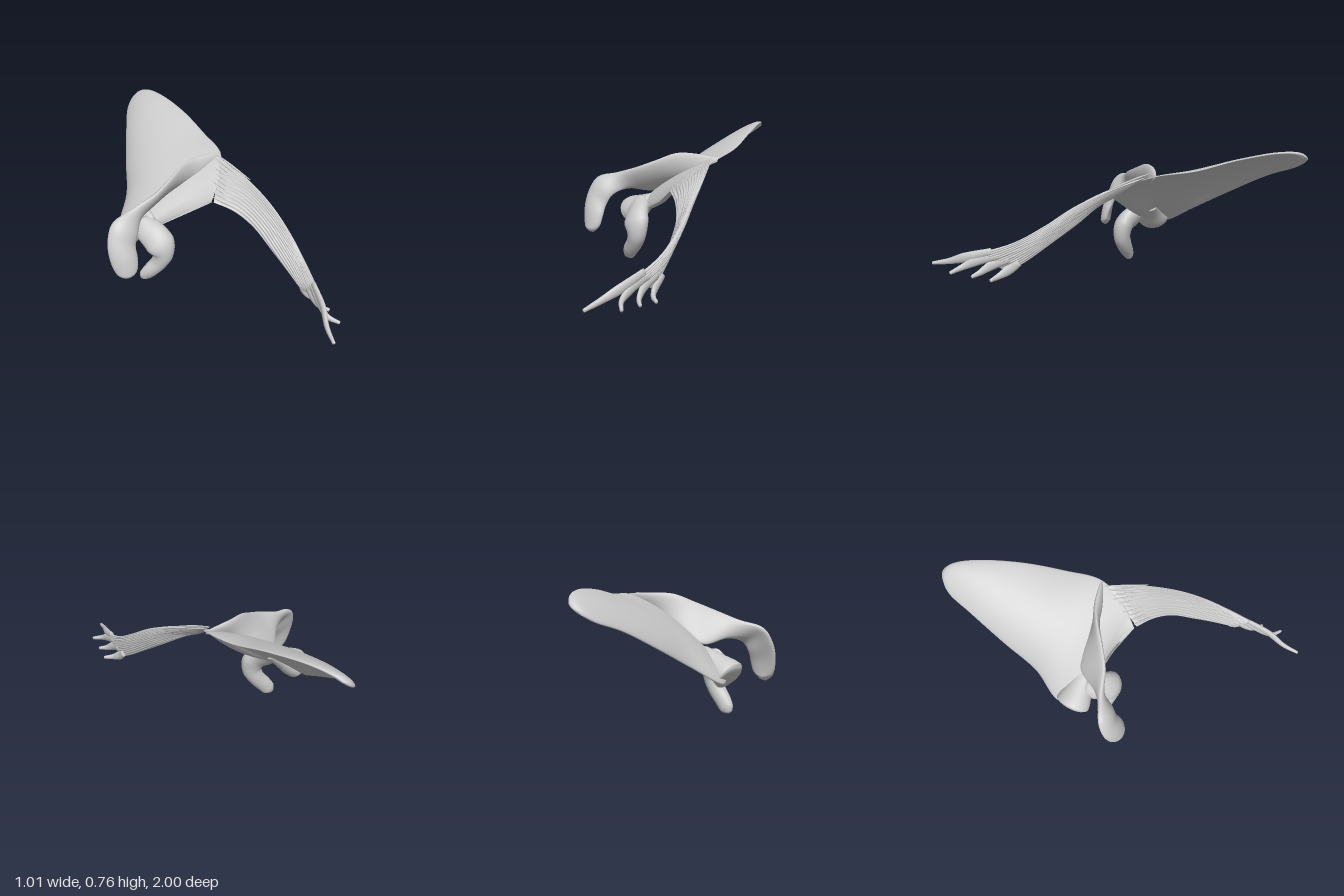
import * as THREE from 'three';

const V = (a) => new THREE.Vector3(...a);
const material = new THREE.MeshStandardMaterial({ color: 0xcccccc });

// Closed skin: nu points around each ring, nv + 1 rings, ends closed by fans
function skin(name, fn, nu, nv) {
  const pos = [], idx = [];
  for (let j = 0; j <= nv; j++) {
    for (let i = 0; i < nu; i++) pos.push(...fn(i / nu, j / nv).toArray());
  }
  for (let j = 0; j < nv; j++) {
    for (let i = 0; i < nu; i++) {
      const k = (i + 1) % nu, a = j * nu + i, b = j * nu + k;
      idx.push(a, b, a + nu, b, b + nu, a + nu);
    }
  }
  for (const j of [0, nv]) {
    const c = new THREE.Vector3();
    for (let i = 0; i < nu; i++) c.add(V(pos.slice((j * nu + i) * 3, (j * nu + i) * 3 + 3)));
    const n = pos.length / 3;
    pos.push(...c.divideScalar(nu).toArray());
    for (let i = 0; i < nu; i++) {
      const a = j * nu + i, b = j * nu + (i + 1) % nu;
      if (j === 0) idx.push(n, b, a); else idx.push(n, a, b);
    }
  }
  // Turn the faces outwards when the enclosed volume is negative
  let volume = 0;
  const p = (k) => V(pos.slice(idx[k] * 3, idx[k] * 3 + 3));
  for (let k = 0; k < idx.length; k += 3) volume += p(k).dot(p(k + 1).cross(p(k + 2)));
  if (volume < 0) idx.reverse();
  const g = new THREE.BufferGeometry();
  g.setAttribute('position', new THREE.Float32BufferAttribute(pos, 3));
  g.setIndex(idx);
  g.computeVertexNormals();
  const mesh = new THREE.Mesh(g, material);
  mesh.name = name;
  return mesh;
}

// Curved plate through rows of [edge, middle, edge]; thick(s, v) is the half thickness
function plate(name, rows, thick, nu = 40, nv = 60) {
  const cols = [0, 1, 2].map((c) => new THREE.CatmullRomCurve3(rows.map((r) => V(r[c])), false, 'centripetal'));
  const at = (s, v) => {
    const [a, m, b] = cols.map((c) => c.getPoint(v));
    return a.multiplyScalar((1 - s) * (1 - 2 * s)).addScaledVector(m, 4 * s * (1 - s)).addScaledVector(b, s * (2 * s - 1));
  };
  return skin(name, (u, v) => {
    const w = u * Math.PI * 2, s = (1 - Math.cos(w)) / 2, e = 0.01;
    const ds = at(s + e, v).sub(at(s - e, v));
    const dv = at(s, Math.min(1, v + e)).sub(at(s, Math.max(0, v - e)));
    const normal = ds.cross(dv).normalize();
    const end = Math.sqrt(Math.min(1, v * 12, (1 - v) * 12));
    return at(s, v).addScaledVector(normal, Math.sin(w) * thick(s, v) * end);
  }, nu, nv);
}

// Rounded limb along stations [x, y, z, radius across, radius in depth]; across is square to axis
function limb(name, stations, nu = 24, nv = 40, axis = V([0, 0, 1])) {
  const path = new THREE.CatmullRomCurve3(stations.map(([x, y, z]) => V([x, y, z])), false, 'centripetal');
  const radii = new THREE.CatmullRomCurve3(stations.map((s) => V([s[3], s[4], 0])));
  return skin(name, (u, v) => {
    const t = path.getTangent(v), r = radii.getPoint(v), w = u * Math.PI * 2;
    const across = axis.clone().cross(t).normalize();
    const depth = t.clone().cross(across).normalize();
    return path.getPoint(v).addScaledVector(across, Math.cos(w) * r.x).addScaledVector(depth, Math.sin(w) * r.y);
  }, nu, nv);
}

export function createModel() {
  const model = new THREE.Group();
  model.name = 'shoulderBladeWithMuscle';

  // Broad arched blade, from the rear tip forward to the upper border
  model.add(plate('blade', [
    [[-0.035, 0.67, -0.985], [0, 0.7, -1], [0.03, 0.715, -0.985]],
    [[-0.08, 0.635, -0.94], [0, 0.71, -0.95], [0.065, 0.745, -0.93]],
    [[-0.13, 0.58, -0.81], [-0.01, 0.695, -0.82], [0.11, 0.755, -0.82]],
    [[-0.2, 0.46, -0.6], [-0.05, 0.625, -0.6], [0.18, 0.73, -0.6]],
    [[-0.26, 0.34, -0.4], [-0.07, 0.56, -0.4], [0.23, 0.68, -0.38]],
    [[-0.36, 0.23, -0.24], [-0.08, 0.49, -0.21], [0.25, 0.655, -0.18]],
    [[-0.32, 0.25, -0.13], [-0.06, 0.45, -0.11], [0.19, 0.59, -0.04]],
    [[-0.19, 0.31, -0.07], [-0.03, 0.385, -0.03], [0.1, 0.495, 0.06]],
  ], (s, v) => 0.015 + 0.025 * (1 - s) * v));

  // Raised ridge that sweeps sideways into the hooked end plate
  model.add(plate('ridgeAndHook', [
    [[0.25, 0.66, -0.18], [0.25, 0.65, -0.175], [0.25, 0.64, -0.17]],
    [[0.1, 0.67, -0.16], [0.1, 0.62, -0.15], [0.1, 0.56, -0.14]],
    [[0, 0.665, -0.12], [0, 0.58, -0.13], [0, 0.51, -0.16]],
    [[-0.1, 0.62, -0.06], [-0.1, 0.54, -0.1], [-0.1, 0.46, -0.17]],
    [[-0.2, 0.575, -0.01], [-0.2, 0.5, -0.06], [-0.2, 0.41, -0.15]],
    [[-0.33, 0.53, 0.01], [-0.31, 0.48, 0], [-0.285, 0.43, -0.03]],
    [[-0.46, 0.485, 0.04], [-0.4, 0.45, 0.07], [-0.33, 0.4, 0.06]],
    [[-0.5, 0.41, 0.07], [-0.43, 0.38, 0.1], [-0.355, 0.34, 0.09]],
    [[-0.508, 0.32, 0.1], [-0.43, 0.3, 0.13], [-0.355, 0.28, 0.12]],
    [[-0.485, 0.22, 0.125], [-0.425, 0.21, 0.145], [-0.365, 0.22, 0.14]],
    [[-0.445, 0.178, 0.14], [-0.425, 0.175, 0.145], [-0.405, 0.18, 0.145]],
  ], (s, v) => 0.018 + 0.012 * v));

  // Neck that flares into a shallow socket
  model.add(limb('socket', [
    [-0.18, 0.37, -0.13, 0.03, 0.05],
    [-0.26, 0.32, -0.14, 0.055, 0.07],
    [-0.33, 0.275, -0.15, 0.08, 0.095],
    [-0.355, 0.26, -0.155, 0.083, 0.098],
    [-0.366, 0.253, -0.157, 0.066, 0.08],
    [-0.37, 0.25, -0.158, 0.02, 0.03],
  ]));

  // Bent beak in front of the socket
  model.add(limb('beak', [
    [-0.25, 0.35, -0.12, 0.04, 0.04],
    [-0.23, 0.31, -0.06, 0.08, 0.05],
    [-0.19, 0.255, 0.01, 0.085, 0.055],
    [-0.175, 0.19, 0.025, 0.062, 0.05],
    [-0.2, 0.125, 0.015, 0.05, 0.045],
    [-0.245, 0.07, 0, 0.047, 0.038],
    [-0.273, 0.033, -0.012, 0.042, 0.028],
    [-0.284, 0.012, -0.015, 0.025, 0.018],
    [-0.286, 0.003, -0.015, 0.004, 0.004],
  ]));

  // Flat muscle band with fine lengthwise fibres
  const outer = [[0.23, 0.65, -0.14], [0.32, 0.595, 0.05], [0.385, 0.52, 0.23], [0.425, 0.43, 0.38], [0.437, 0.34, 0.55], [0.43, 0.275, 0.75]];
  const inner = [[0.11, 0.5, 0.07], [0.2, 0.465, 0.14], [0.28, 0.4, 0.23], [0.34, 0.31, 0.36], [0.39, 0.23, 0.48], [0.425, 0.175, 0.58]];
  const bulge = V([0.015, 0.008, 0.01]);
  model.add(plate('muscleBand', outer.map((o, i) => {
    const mid = V(o).add(V(inner[i])).multiplyScalar(0.5);
    if (i > 0 && i < 5) mid.add(bulge);
    return [o, mid.toArray(), inner[i]];
  }), (s, v) => 0.014 + 0.004 * Math.sin(s * 75 + 3 * Math.sin(v * 5)), 128, 70));

  // Separate fibre bundles where the band meets the bone
  const fibres = new THREE.Group();
  fibres.name = 'attachmentFibres';
  const lift = V([0.006, 0.014, 0.006]);
  for (let i = 0; i < 10; i++) {
    const f = (i + 0.5) / 10;
    const start = V(outer[0]).lerp(V(inner[0]), f);
    const end = V(outer[1]).lerp(V(inner[1]), f);
    const a = start.clone().lerp(end, -0.12 - 0.08 * Math.sin(i * 2.4)).add(lift);
    const b = start.clone().lerp(end, 0.35).add(lift);
    const c = end.add(bulge);
    fibres.add(limb('fibre', [[...a.toArray(), 0.002, 0.002], [...b.toArray(), 0.007, 0.005], [...c.toArray(), 0.002, 0.002]], 8, 10));
  }
  model.add(fibres);

  // Four tapering slips at the far end, from root to tip
  const slips = new THREE.Group();
  slips.name = 'muscleSlips';
  const size = [[0.012, 0.02], [0.014, 0.026], [0.012, 0.017], [0.008, 0.009]];
  [
    [[0.432, 0.29, 0.66], [0.415, 0.25, 0.8], [0.385, 0.215, 0.9], [0.372, 0.197, 0.995]],
    [[0.434, 0.27, 0.62], [0.425, 0.235, 0.74], [0.435, 0.2, 0.82], [0.48, 0.185, 0.87]],
    [[0.433, 0.25, 0.57], [0.43, 0.215, 0.66], [0.45, 0.18, 0.72], [0.488, 0.17, 0.755]],
    [[0.425, 0.23, 0.52], [0.43, 0.185, 0.58], [0.455, 0.162, 0.625], [0.5, 0.157, 0.655]],
  ].forEach((points) => {
    slips.add(limb('slip', points.map((p, i) => [...p, ...size[i]]), 12, 24, V([0, 1, 0])));
  });
  model.add(slips);

  return model;
}
